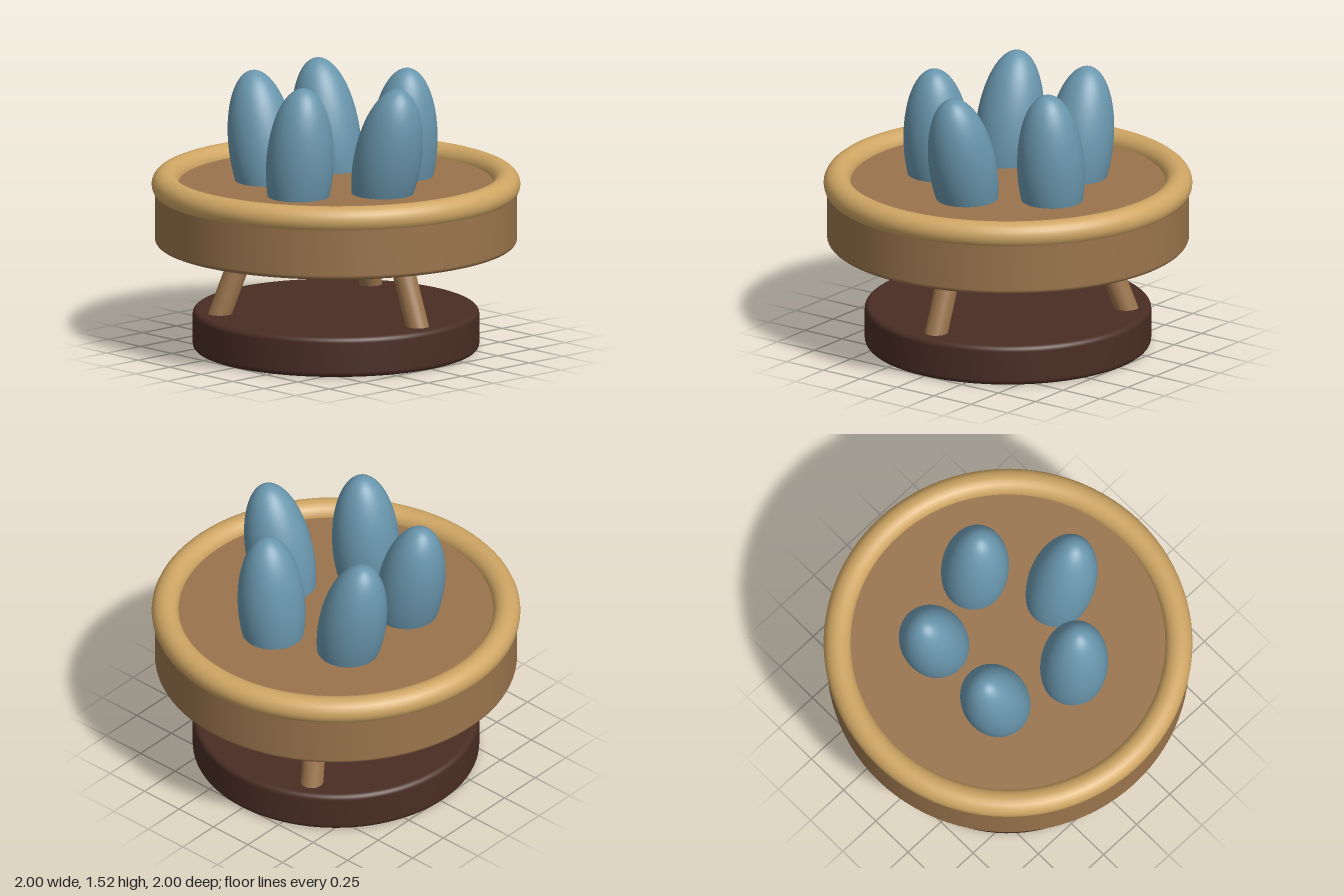
import * as THREE from 'three';

const material = (name, color) => {
  const m = new THREE.MeshStandardMaterial({ color });
  m.name = name;
  return m;
};

// Solid disc with rounded edges, from y0 to y1
function roundedDisc(radius, y0, y1, bevel) {
  const points = [new THREE.Vector2(0, y0)];
  const steps = 6;
  for (const [cy, start] of [[y0 + bevel, -Math.PI / 2], [y1 - bevel, 0]]) {
    for (let i = 0; i <= steps; i++) {
      const a = start + (i / steps) * Math.PI / 2;
      points.push(new THREE.Vector2(radius - bevel + bevel * Math.cos(a), cy + bevel * Math.sin(a)));
    }
  }
  points.push(new THREE.Vector2(0, y1));
  return new THREE.LatheGeometry(points, 96);
}

export function createModel() {
  const model = new THREE.Group();
  const wood = material('wood', 0x9a744c);
  const paleWood = material('paleWood', 0xcfa664);
  const darkWood = material('darkWood', 0x4a2d24);
  const blue = material('blue', 0x6996ad);

  const add = (name, geometry, mat) => {
    const mesh = new THREE.Mesh(geometry, mat);
    mesh.name = name;
    model.add(mesh);
    return mesh;
  };

  // Base and tray
  add('base', roundedDisc(0.777, 0, 0.222, 0.03), darkWood);
  add('tray', roundedDisc(0.982, 0.585, 0.917, 0.025), wood);

  // Rounded rim around the tray
  const rim = add('rim', new THREE.TorusGeometry(0.926, 0.074, 24, 96), paleWood);
  rim.rotation.x = Math.PI / 2;
  rim.position.y = 0.909;

  // Three splayed legs, sunk a little into base and tray
  const up = new THREE.Vector3(0, 1, 0);
  for (let i = 0; i < 3; i++) {
    const a = (i * 2 * Math.PI) / 3;
    const at = (r, y) => new THREE.Vector3(r * Math.cos(a), y, r * Math.sin(a));
    const bottom = at(0.665, 0.17);
    const top = at(0.486, 0.64);
    const axis = top.clone().sub(bottom);
    const leg = add('leg' + (i + 1), new THREE.CylinderGeometry(0.062, 0.062, axis.length(), 32), wood);
    leg.position.copy(bottom).add(top).multiplyScalar(0.5);
    leg.quaternion.setFromUnitVectors(up, axis.normalize());
  }

  // Ring of five tall pods, leaning sideways away from the middle
  for (let i = 0; i < 5; i++) {
    const a = (i * 2 * Math.PI) / 5;
    const pod = add('pod' + (i + 1), new THREE.SphereGeometry(1, 48, 32), blue);
    pod.scale.set(0.183, 0.43, 0.183);
    pod.position.set(0.405 * Math.cos(a), 1.09, 0.405 * Math.sin(a));
    pod.rotation.z = -0.245 * Math.cos(a);
  }
  return model;
}
